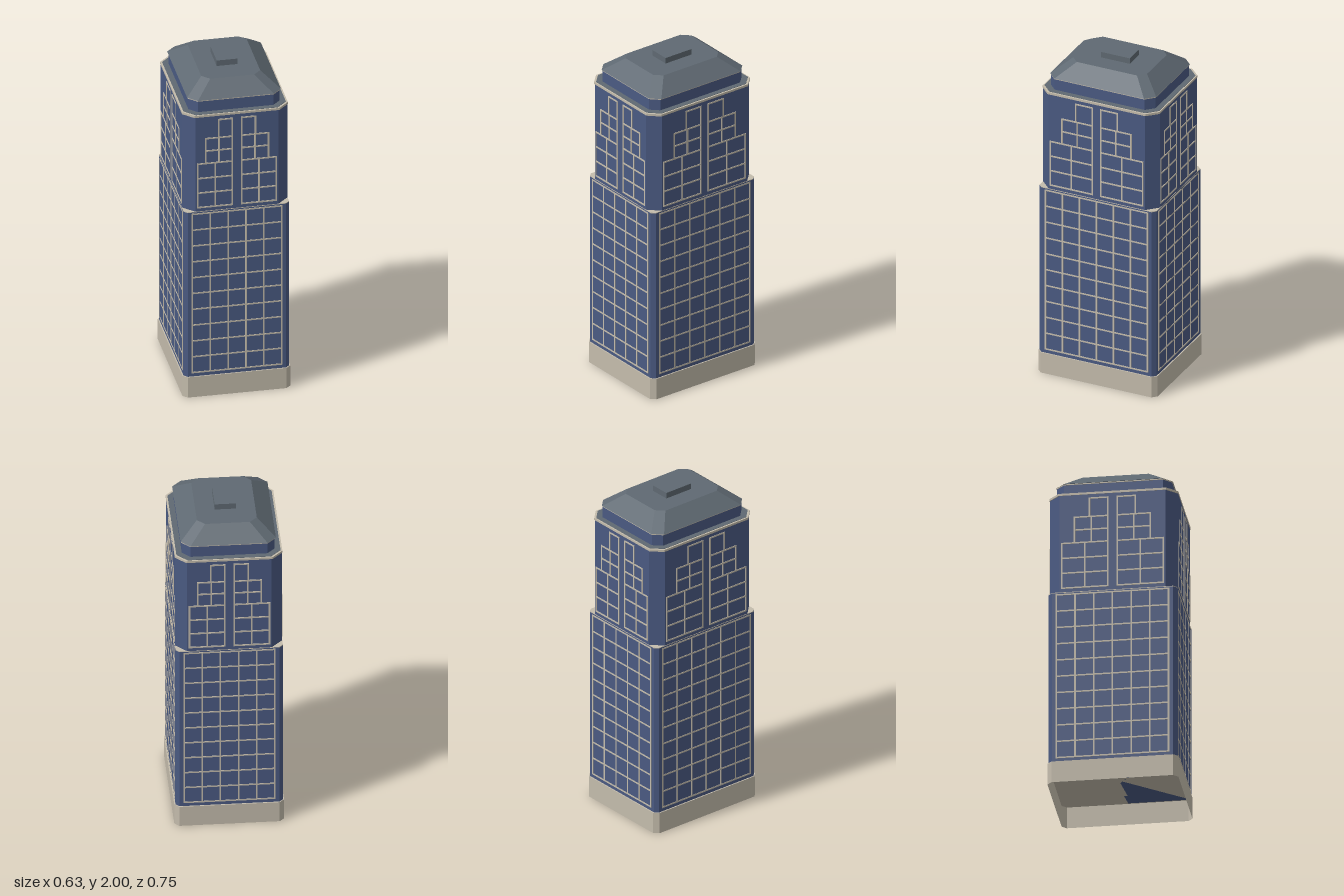
import * as THREE from 'three';
import { mergeGeometries } from 'three/addons/utils/BufferGeometryUtils.js';

const stone = new THREE.MeshStandardMaterial({ color: 0xc4bcac, side: THREE.DoubleSide });
stone.name = 'pale stone';
const glass = new THREE.MeshStandardMaterial({ color: 0x4a5a82 });
glass.name = 'blue glass';
const slate = new THREE.MeshStandardMaterial({ color: 0x5f6972 });
slate.name = 'slate roof';

// Corners of a rectangle with cut corners, counter-clockwise from above
function ring(x, z, c, y) {
  const q = [[x, c - z], [x - c, -z], [c - x, -z], [-x, c - z]];
  return [...q, ...q.map(([a, b]) => [-a, -b])].map(([a, b]) => new THREE.Vector3(a, y, b));
}

// Solid between two rings [halfX, halfZ, cut, y], with a flat top and optional bottom
function loft(name, material, low, high, bottom = true) {
  const a = ring(...low), b = ring(...high);
  const ca = new THREE.Vector3(0, low[3], 0), cb = new THREE.Vector3(0, high[3], 0);
  const pts = [];
  a.forEach((p, i) => {
    const j = (i + 1) % a.length;
    pts.push(p, a[j], b[j], p, b[j], b[i], cb, b[i], b[j]);
    if (bottom) pts.push(ca, a[j], p);
  });
  const geo = new THREE.BufferGeometry().setFromPoints(pts);
  geo.computeVertexNormals();
  const mesh = new THREE.Mesh(geo, material);
  mesh.name = name;
  return mesh;
}

// Grid of thin bars in the xy plane
const BAR = 0.009;
function grid(x0, x1, cols, y0, y1, rows) {
  const bars = [];
  const add = (w, h, x, y) => bars.push(new THREE.BoxGeometry(w, h, 0.004).translate(x, y, 0));
  for (let i = 0; i <= cols; i++) add(BAR, y1 - y0 + BAR, x0 + (x1 - x0) * i / cols, (y0 + y1) / 2);
  for (let j = 0; j <= rows; j++) add(Math.abs(x1 - x0) + BAR, BAR, (x0 + x1) / 2, y0 + (y1 - y0) * j / rows);
  return bars;
}

// Window bars of one facade: full grid below, two stepped halves above
function facade(name, half, cols, steps, distance, angle) {
  const bars = grid(-half, half, cols, 0.155, 1.175, 10);
  for (const s of [-1, 1]) {
    bars.push(...grid(s * 0.027, s * steps[0], 2, 1.215, 1.495, 3));
    bars.push(...grid(s * 0.027, s * steps[1], 2, 1.495, 1.655, 2));
    bars.push(...grid(s * 0.027, s * steps[2], 1, 1.655, 1.77, 1));
  }
  const geo = mergeGeometries(bars).translate(0, 0, distance).rotateY(angle);
  const mesh = new THREE.Mesh(geo, stone);
  mesh.name = name;
  return mesh;
}

export function createModel() {
  const tower = new THREE.Group();
  tower.name = 'officeTower';

  // Hollow plinth, open below
  tower.add(loft('plinth', stone, [0.313, 0.376, 0.027, 0], [0.313, 0.376, 0.027, 0.13], false));

  // Main shaft with a stone ledge showing at the cut corners
  tower.add(loft('lowerShaft', glass, [0.306, 0.369, 0.021, 0.13], [0.306, 0.369, 0.021, 1.186]));
  tower.add(loft('cornerLedge', stone, [0.306, 0.369, 0.021, 1.186], [0.306, 0.369, 0.021, 1.19]));
  tower.add(loft('upperShaft', glass, [0.305, 0.368, 0.064, 1.19], [0.305, 0.368, 0.064, 1.795]));

  // Cornice and terrace
  tower.add(loft('cornice', stone, [0.307, 0.37, 0.061, 1.795], [0.307, 0.37, 0.061, 1.808]));
  tower.add(loft('terrace', slate, [0.297, 0.362, 0.06, 1.808], [0.297, 0.362, 0.06, 1.81]));

  // Recessed crown and hipped roof
  tower.add(loft('crown', glass, [0.265, 0.33, 0.046, 1.81], [0.265, 0.33, 0.046, 1.878]));
  tower.add(loft('crownTrim', stone, [0.268, 0.332, 0.048, 1.878], [0.268, 0.332, 0.048, 1.884]));
  tower.add(loft('roof', slate, [0.272, 0.335, 0.052, 1.884], [0.171, 0.233, 0.043, 1.965]));
  const cap = new THREE.Mesh(new THREE.BoxGeometry(0.122, 0.04, 0.183), slate);
  cap.name = 'roofCap';
  cap.position.y = 1.98;
  tower.add(cap);

  // Window bars on all four sides
  const front = [0.228, 0.182, 0.107], side = [0.291, 0.218, 0.132];
  tower.add(facade('frontWindowBars', 0.259, 5, front, 0.369, 0));
  tower.add(facade('backWindowBars', 0.259, 5, front, 0.369, Math.PI));
  tower.add(facade('leftWindowBars', 0.322, 6, side, 0.306, Math.PI / 2));
  tower.add(facade('rightWindowBars', 0.322, 6, side, 0.306, -Math.PI / 2));
  return tower;
}
